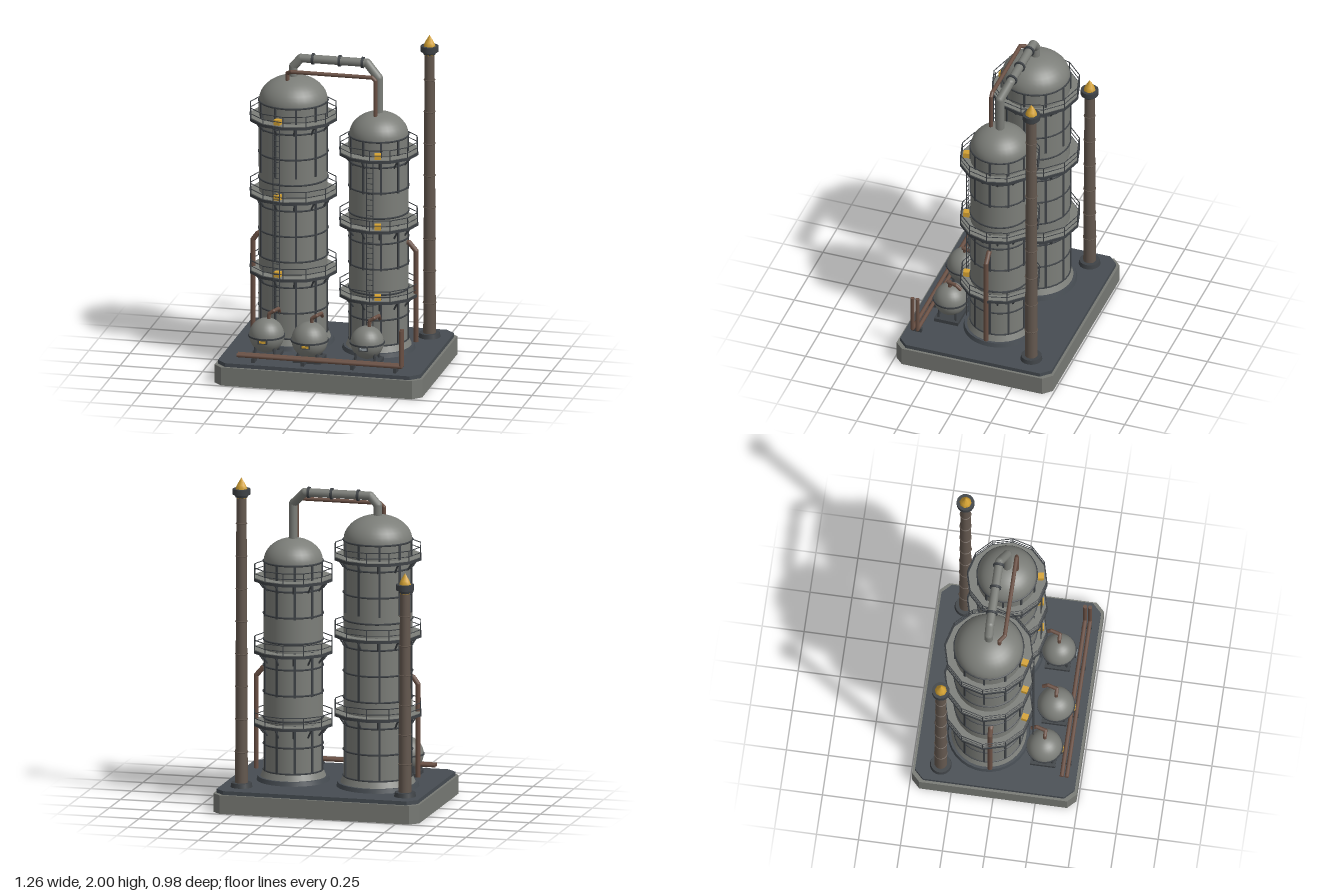
import * as THREE from 'three';

const mat = (name, color) => {
  const m = new THREE.MeshStandardMaterial({ color });
  m.name = name;
  return m;
};

export function createModel() {
  const M = {
    grey: mat('vessel grey', 0x7c7e79),
    concrete: mat('base grey', 0x777974),
    slab: mat('slab slate', 0x464c52),
    dark: mat('dark steel', 0x3e4246),
    stack: mat('stack brown', 0x64584f),
    pipe: mat('pipe brown', 0x6a5044),
    yellow: mat('signal yellow', 0xd4a233),
    pale: mat('pale plate', 0x9aa3a8),
  };
  const root = new THREE.Group();
  root.name = 'processPlant';

  // Helpers
  const add = (parent, name, geo, m, x = 0, y = 0, z = 0) => {
    const mesh = new THREE.Mesh(geo, m);
    mesh.name = name;
    mesh.position.set(x, y, z);
    parent.add(mesh);
    return mesh;
  };
  const group = (name, x, z) => {
    const g = new THREE.Group();
    g.name = name;
    g.position.set(x, 0, z);
    root.add(g);
    return g;
  };
  const ring = (parent, name, r, tube, y, m, sides = 32) =>
    add(parent, name, new THREE.TorusGeometry(r, tube, 5, sides).rotateX(Math.PI / 2), m, 0, y, 0);
  const beam = (parent, name, a, b, r, m, sides = 6) => {
    const p = new THREE.Vector3(...a), q = new THREE.Vector3(...b);
    const d = q.clone().sub(p);
    const mesh = add(parent, name, new THREE.CylinderGeometry(r, r, d.length(), sides), m);
    mesh.position.copy(p.add(q).multiplyScalar(0.5));
    mesh.quaternion.setFromUnitVectors(new THREE.Vector3(0, 1, 0), d.normalize());
    return mesh;
  };
  // Pipe run: straight lengths with ball elbows
  const pipeRun = (parent, name, pts, r, m) => {
    const g = new THREE.Group();
    g.name = name;
    parent.add(g);
    for (let i = 0; i < pts.length - 1; i++) {
      beam(g, 'pipeLength', pts[i], pts[i + 1], r, m, 12);
      if (i) add(g, 'elbow', new THREE.SphereGeometry(r, 12, 8), m, ...pts[i]);
    }
  };

  // Base and slab with cut corners
  const plate = (w, d, c, h) => {
    const s = new THREE.Shape();
    [[w, d - c], [w - c, d], [c - w, d], [-w, d - c], [-w, c - d], [c - w, -d], [w - c, -d], [w, c - d]]
      .forEach(([x, y], i) => (i ? s.lineTo(x, y) : s.moveTo(x, y)));
    return new THREE.ExtrudeGeometry(s, { depth: h, bevelEnabled: false }).rotateX(-Math.PI / 2);
  };
  add(root, 'base', plate(0.63, 0.49, 0.05, 0.112), M.concrete);
  add(root, 'slab', plate(0.615, 0.475, 0.055, 0.023), M.slab, 0, 0.112, 0);

  // Distillation towers
  const tower = (name, o) => {
    const { r, top, dome, deckR, decks, ribs } = o;
    const g = group(name, o.x, o.z);
    add(g, 'footing', new THREE.CylinderGeometry(r + 0.035, r + 0.042, 0.025, 32), M.slab, 0, 0.148, 0);
    add(g, 'skirt', new THREE.CylinderGeometry(r, r + 0.02, 0.045, 32), M.grey, 0, 0.182, 0);
    add(g, 'body', new THREE.CylinderGeometry(r, r, top - 0.16, 32, 1, true), M.grey, 0, (top + 0.16) / 2, 0);
    const cap = new THREE.SphereGeometry(r, 32, 10, 0, Math.PI * 2, 0, Math.PI / 2).scale(1, dome / r, 1);
    add(g, 'dome', cap, M.grey, 0, top, 0);
    const n = Math.round((top - 0.2) / 0.156);
    for (let i = 0; i <= n; i++) ring(g, 'hoop', r + 0.001, 0.006, 0.2 + (top - 0.2) * i / n, M.dark);

    // Vertical ribs in bays
    ribs.forEach(([lo, hi]) => {
      for (let i = 0; i < 10; i++) {
        const a = (i + 0.5) * Math.PI / 5;
        const rib = add(g, 'rib', new THREE.BoxGeometry(0.013, hi - lo, 0.012), M.dark,
          Math.sin(a) * r, (lo + hi) / 2, Math.cos(a) * r);
        rib.rotation.y = a;
      }
    });

    // Walkways with railings, brackets and a lamp box
    decks.forEach((y) => {
      add(g, 'deckFrame', new THREE.CylinderGeometry(deckR, deckR, 0.017, 12), M.dark, 0, y, 0);
      add(g, 'deckFloor', new THREE.CylinderGeometry(deckR - 0.006, deckR - 0.006, 0.004, 12), M.grey, 0, y + 0.01, 0);
      ring(g, 'topRail', deckR - 0.004, 0.003, y + 0.072, M.dark, 12);
      ring(g, 'midRail', deckR - 0.004, 0.0025, y + 0.038, M.dark, 12);
      for (let i = 0; i < 12; i++) {
        const a = i * Math.PI / 6, s = Math.sin(a), c = Math.cos(a), q = deckR - 0.004;
        beam(g, 'railPost', [s * q, y, c * q], [s * q, y + 0.073, c * q], 0.003, M.dark, 5);
        const b = a + Math.PI / 12, e = deckR - 0.025;
        beam(g, 'bracket', [Math.sin(b) * e, y - 0.006, Math.cos(b) * e],
          [Math.sin(b) * r, y - 0.06, Math.cos(b) * r], 0.006, M.dark, 5);
      }
      const box = add(g, 'lampBox', new THREE.BoxGeometry(0.037, 0.032, 0.037), M.yellow,
        o.lamp[0], y + 0.028, o.lamp[1]);
      box.rotation.y = Math.atan2(o.lamp[0], o.lamp[1]);
    });

    // Ladder
    const [lx, lz, l0, l1] = o.ladder;
    for (const s of [-1, 1])
      beam(g, 'ladderRail', [lx + s * 0.019, l0, lz], [lx + s * 0.019, l1, lz], 0.003, M.dark, 5);
    for (let y = l0 + 0.015; y < l1; y += 0.033)
      beam(g, 'ladderRung', [lx - 0.019, y, lz], [lx + 0.019, y, lz], 0.002, M.dark, 4);
  };
  tower('tallTower', {
    x: -0.277, z: -0.075, r: 0.203, top: 1.62, dome: 0.147, deckR: 0.265, decks: [1.515, 1.05, 0.575],
    ribs: [[1.19, 1.62], [0.67, 1.06], [0.2, 0.58]], lamp: [-0.041, 0.222], ladder: [-0.038, 0.272, 0.37, 1.53],
  });
  tower('shortTower', {
    x: 0.25, z: -0.04, r: 0.175, top: 1.455, dome: 0.137, deckR: 0.24, decks: [1.35, 0.915, 0.477],
    ribs: [[1.13, 1.455], [0.66, 0.93], [0.2, 0.49]], lamp: [0.041, 0.195], ladder: [-0.005, 0.205, 0.17, 1.36],
  });

  // Flare stacks
  const flareStack = (name, x, z, h) => {
    const g = group(name, x, z);
    add(g, 'foot', new THREE.CylinderGeometry(0.06, 0.065, 0.026, 20), M.dark, 0, 0.148, 0);
    const shaftH = h - 0.23;
    add(g, 'shaft', new THREE.CylinderGeometry(0.03, 0.038, shaftH, 16), M.stack, 0, 0.15 + shaftH / 2, 0);
    const n = Math.round(shaftH / 0.19);
    for (let i = 1; i < n; i++) ring(g, 'band', 0.038 - 0.008 * i / n, 0.004, 0.15 + shaftH * i / n, M.stack, 16);
    add(g, 'collar', new THREE.CylinderGeometry(0.043, 0.036, 0.022, 16), M.dark, 0, h - 0.108, 0);
    add(g, 'cap', new THREE.CylinderGeometry(0.053, 0.053, 0.034, 16), M.dark, 0, h - 0.085, 0);
    const flame = [[0, -0.18], [0.036, -0.115], [0.036, -0.068], [0.027, -0.045], [0, 0]]
      .map(([a, b]) => new THREE.Vector2(a, b));
    add(g, 'flame', new THREE.LatheGeometry(flame, 8), M.yellow, 0, h, 0);
  };
  flareStack('tallFlareStack', 0.49, -0.322, 2);
  flareStack('shortFlareStack', -0.512, -0.328, 1.48);

  // Overhead pipes between the towers
  pipeRun(root, 'vapourPipe', [[-0.277, 1.74, -0.075], [-0.277, 1.825, -0.075], [-0.23, 1.878, -0.075],
    [0.17, 1.878, -0.075], [0.25, 1.8, -0.04], [0.25, 1.57, -0.04]], 0.026, M.grey);
  for (const x of [-0.157, 0.005, 0.145]) {
    const f = add(root, 'pipeFlange', new THREE.CylinderGeometry(0.034, 0.034, 0.014, 16), M.dark, x, 1.878, -0.075);
    f.rotation.z = Math.PI / 2;
  }
  pipeRun(root, 'returnPipe', [[-0.297, 1.73, -0.01], [-0.297, 1.8, -0.01], [-0.265, 1.818, 0.018],
    [0.225, 1.818, 0.018], [0.243, 1.8, 0.018], [0.243, 1.56, 0.018]], 0.012, M.pipe);

  // Downpipes on the outer flanks
  pipeRun(root, 'downpipeLeft', [[0.41, 0.8, -0.035], [0.435, 0.8, -0.035], [0.478, 0.75, -0.035], [0.478, 0.19, -0.035]], 0.015, M.pipe);
  pipeRun(root, 'downpipeRight', [[-0.46, 0.8, -0.035], [-0.483, 0.79, -0.035], [-0.512, 0.75, -0.035], [-0.512, 0.19, -0.035]], 0.015, M.pipe);

  // Ground pipes along the front edge
  for (const z of [0.39, 0.42])
    pipeRun(root, 'groundPipe', [[-0.5, 0.172, z], [0.495, 0.172, z], [0.495, 0.395, z]], 0.012, M.pipe);
  for (const x of [-0.4, -0.1, 0.2, 0.46])
    add(root, 'pipeSupport', new THREE.BoxGeometry(0.02, 0.03, 0.06), M.dark, x, 0.147, 0.405);

  // Round tanks
  const tank = (x, z, r, label) => {
    const g = group('roundTank', x, z), y = 0.262;
    add(g, 'sphere', new THREE.SphereGeometry(r, 28, 18), M.grey, 0, y, 0);
    add(g, 'girdle', new THREE.CylinderGeometry(r + 0.005, r + 0.005, 0.01, 28), M.dark, 0, y, 0);
    add(g, 'plinth', new THREE.BoxGeometry(0.17, 0.022, 0.15), M.dark, 0, 0.146, 0);
    for (const sx of [-1, 1]) for (const sz of [-1, 1])
      beam(g, 'leg', [sx * 0.06, 0.15, sz * 0.055], [sx * 0.055, 0.21, sz * 0.05], 0.008, M.dark);
    add(g, 'plateFrame', new THREE.BoxGeometry(0.056, 0.026, 0.012), M.dark, 0, y - 0.014, r);
    add(g, 'namePlate', new THREE.BoxGeometry(0.04, 0.014, 0.006), label, 0, y - 0.014, r + 0.006);
    pipeRun(g, 'outletPipe', [[0.012, 0.35, 0], [0.015, 0.395, 0], [0.042, 0.412, 0],
      [0.058, 0.412, -0.055], [0.056, 0.385, -0.085]], 0.011, M.pipe);
  };
  tank(-0.356, 0.268, 0.104, M.yellow);
  tank(-0.088, 0.298, 0.108, M.yellow);
  tank(0.254, 0.268, 0.099, M.pale);

  return root;
}
